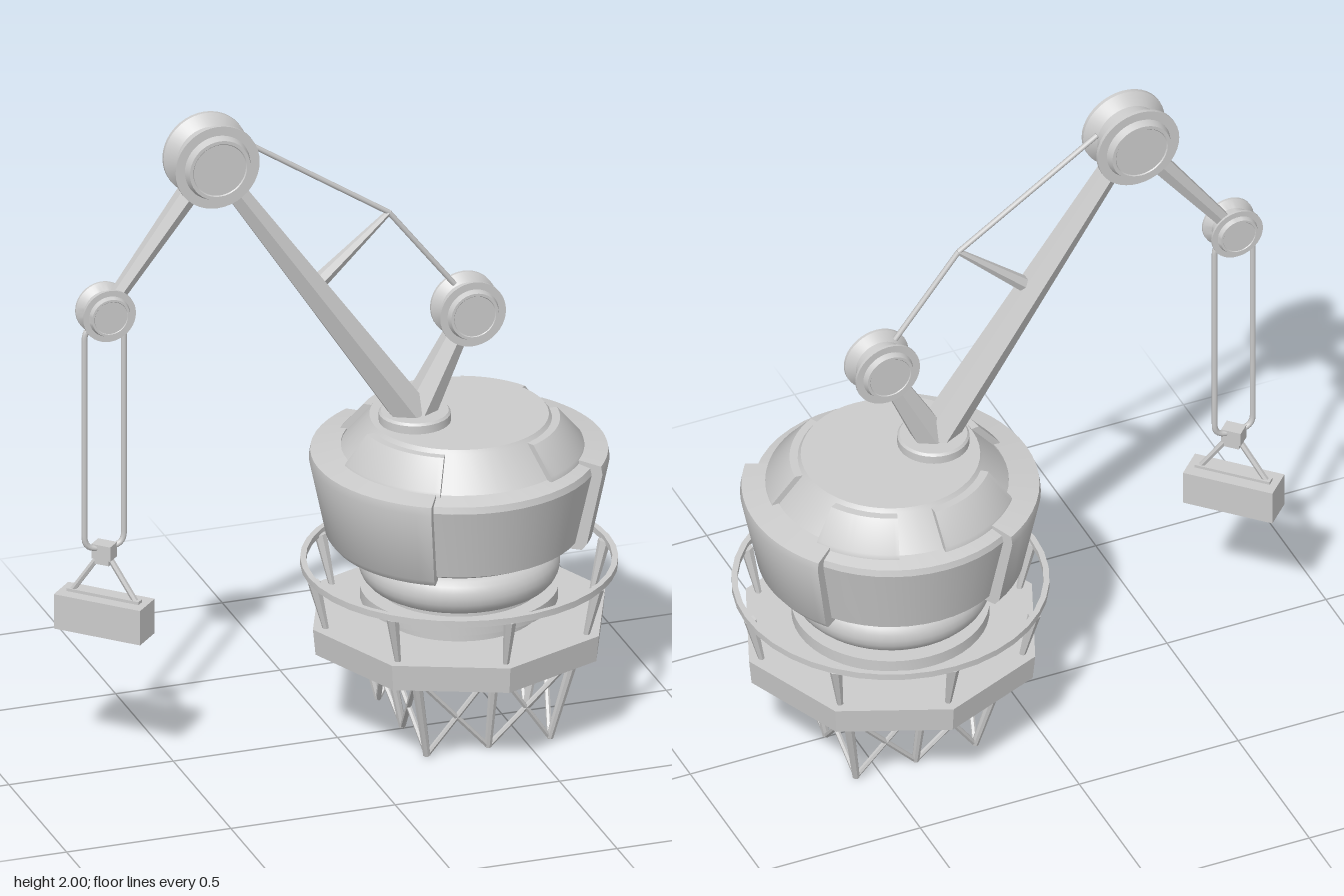
import * as THREE from 'three';
import { toCreasedNormals } from 'three/addons/utils/BufferGeometryUtils.js';

const smooth = new THREE.MeshStandardMaterial({ color: 0xcccccc, side: THREE.DoubleSide });
const flat = new THREE.MeshStandardMaterial({ color: 0xcccccc, side: THREE.DoubleSide, flatShading: true });
const V = (x, y, z = 0) => new THREE.Vector3(x, y, z);
const rad = THREE.MathUtils.degToRad;
const CX = 0.37; // axis of the tower

function add(parent, name, geometry, material = smooth) {
  const mesh = new THREE.Mesh(geometry, material);
  mesh.name = name;
  parent.add(mesh);
  return mesh;
}

// Turned part from [radius, height] pairs
function turned(profile, segments = 48, start = 0, length = Math.PI * 2) {
  const pts = profile.map(([r, y]) => new THREE.Vector2(r, y));
  return toCreasedNormals(new THREE.LatheGeometry(pts, segments, start, length), 0.45);
}

// Part of a turned ring between two angles (degrees from +x towards +z), with closed ends
function sector(parent, name, profile, a0, a1) {
  const g = new THREE.Group();
  g.name = name;
  const closed = [...profile, profile[0]];
  add(g, name + 'Shell', turned(closed, 20, rad(90 - a1), rad(a1 - a0)));
  const shape = new THREE.Shape(profile.map(([r, y]) => new THREE.Vector2(r, y)));
  for (const a of [a0, a1]) {
    add(g, name + 'End', new THREE.ShapeGeometry(shape)).rotation.y = -rad(a);
  }
  parent.add(g);
}

// Tapered straight member between two points
function beam(parent, name, a, b, r0, r1, sides = 6, material = flat) {
  const d = b.clone().sub(a);
  const m = add(parent, name, new THREE.CylinderGeometry(r1, r0, d.length(), sides), material);
  m.position.copy(a).addScaledVector(d, 0.5);
  m.quaternion.setFromUnitVectors(V(0, 1, 0), d.normalize());
  return m;
}

// Grooved pulley with a raised hub on both sides
function pulley(parent, name, x, y, R, half) {
  const side = [[0, half * 0.96], [R * 0.62, half * 0.96], [R * 0.64, half], [R * 0.72, half],
    [R * 0.78, half * 0.72], [R, half * 0.72], [R, half * 0.58], [R * 0.76, half * 0.2]];
  const profile = [...side.map(([r, h]) => [r, -h]), ...side.slice().reverse()];
  const m = add(parent, name, turned(profile, 40));
  m.rotation.x = Math.PI / 2;
  m.position.set(x, y, 0);
}

function buildTrestle(tower) {
  const g = new THREE.Group();
  g.name = 'trestle';
  g.position.x = 0.015;
  const foot = (i, k) => V(i * 0.187, 0, k * 0.21);
  const head = (i, k) => V(i * 0.24, 0.27, k * 0.27);
  const loop = [[-1, -1], [0, -1], [1, -1], [1, 0], [1, 1], [0, 1], [-1, 1], [-1, 0]];
  loop.forEach((p, i) => {
    const q = loop[(i + 1) % 8];
    beam(g, 'leg', foot(...p), head(...p), 0.011, 0.016, 8);
    beam(g, 'brace', foot(...p), head(...q), 0.008, 0.008, 6);
    beam(g, 'brace', foot(...q), head(...p), 0.008, 0.008, 6);
  });
  tower.add(g);
}

function buildDeck(tower) {
  add(tower, 'deck', new THREE.CylinderGeometry(0.445, 0.437, 0.08, 8), flat).position.y = 0.305;
  add(tower, 'railing', turned([[0.44, 0.49], [0.457, 0.49], [0.457, 0.51], [0.44, 0.51], [0.44, 0.49]], 40));
  for (let i = 0; i < 8; i++) {
    const a = i * Math.PI / 4, c = Math.cos(a), s = Math.sin(a);
    beam(tower, 'railPost', V(0.405 * c, 0.34, 0.405 * s), V(0.442 * c, 0.495, 0.442 * s), 0.009, 0.019, 6);
  }
}

function buildBody(tower) {
  // Slewing bearing: stacked discs and a rounded bulge
  const bulge = [];
  for (let i = 0; i <= 10; i++) {
    const t = -Math.PI / 2 + Math.PI * i / 10;
    bulge.push([0.235 + 0.055 * Math.cos(t), 0.5 + 0.06 * Math.sin(t)]);
  }
  add(tower, 'bearing', turned([[0, 0.345], [0.23, 0.345], [0.23, 0.37], [0.22, 0.375], [0.22, 0.388],
    [0.285, 0.388], [0.285, 0.425], [0.235, 0.425], ...bulge, [0.24, 0.58]]));
  // Drum with sloping shoulder and flat roof
  add(tower, 'drum', turned([[0, 0.575], [0.24, 0.575], [0.3, 0.575], [0.35, 0.6], [0.4, 0.82], [0.395, 0.84],
    [0.345, 0.855], [0.265, 0.95], [0.258, 0.96], [0, 0.96]]));
  // Thick armour panels on either side
  const panel = [[0.33, 0.58], [0.37, 0.58], [0.385, 0.6], [0.432, 0.825], [0.428, 0.85], [0.34, 0.865]];
  sector(tower, 'sidePanel', panel, -37, 37);
  sector(tower, 'sidePanel', panel, 120, 240);
  // Raised plates on the shoulder
  const plate = [[0.335, 0.85], [0.362, 0.853], [0.358, 0.868], [0.29, 0.948], [0.26, 0.948]];
  for (const [a, b] of [[5, 62], [118, 175], [218, 268], [290, 330]]) sector(tower, 'shoulderPlate', plate, a, b);
}

function buildCrane(root) {
  const g = new THREE.Group();
  g.name = 'crane';
  const base = V(0.235, 0.97), top = V(-0.385, 1.87), tip = V(-0.706, 1.44), back = V(0.397, 1.286);
  const mount = add(g, 'turntable', turned([[0, 0.95], [0.104, 0.95], [0.104, 0.985], [0.098, 0.992], [0, 0.992]], 32));
  mount.position.x = 0.235;
  beam(g, 'boom', V(0.225, 0.985), top, 0.06, 0.03);
  beam(g, 'backStrut', base, back, 0.055, 0.03);
  beam(g, 'forearm', top, tip, 0.036, 0.022);
  pulley(g, 'topPulley', top.x, top.y, 0.128, 0.08);
  pulley(g, 'tipPulley', tip.x, tip.y, 0.08, 0.05);
  pulley(g, 'backPulley', back.x, back.y, 0.1, 0.062);
  // Stay line held off the boom by a spreader
  const knee = V(0.156, 1.625);
  beam(g, 'stay', V(-0.28, 1.91), knee, 0.008, 0.008, 8, smooth);
  beam(g, 'stay', knee, V(0.355, 1.37), 0.008, 0.008, 8, smooth);
  beam(g, 'spreader', V(-0.06, 1.435), knee, 0.024, 0.009);
  root.add(g);
}

function buildHoist(root) {
  const g = new THREE.Group();
  g.name = 'hoist';
  g.position.x = -0.71;
  // Rope loop with rounded corners
  const w = 0.06, lo = 0.7, hi = 1.4, r = 0.04;
  const path = new THREE.CurvePath();
  const corner = (a, c, b) => path.add(new THREE.QuadraticBezierCurve3(a, c, b));
  const line = (a, b) => path.add(new THREE.LineCurve3(a, b));
  line(V(0, hi), V(-w + r, hi));
  corner(V(-w + r, hi), V(-w, hi), V(-w, hi - r));
  line(V(-w, hi - r), V(-w, lo + r));
  corner(V(-w, lo + r), V(-w, lo), V(-w + r, lo));
  line(V(-w + r, lo), V(w - r, lo));
  corner(V(w - r, lo), V(w, lo), V(w, lo + r));
  line(V(w, lo + r), V(w, hi - r));
  corner(V(w, hi - r), V(w, hi), V(w - r, hi));
  line(V(w - r, hi), V(0, hi));
  add(g, 'rope', new THREE.TubeGeometry(path, 160, 0.009, 8, true));
  // Shackle, slings and load, turned to the diagonal
  const load = new THREE.Group();
  load.name = 'load';
  load.rotation.y = -Math.PI / 4;
  add(load, 'shackle', new THREE.BoxGeometry(0.06, 0.045, 0.045)).position.y = 0.69;
  add(load, 'shackleNeck', new THREE.BoxGeometry(0.045, 0.03, 0.035)).position.y = 0.665;
  for (const s of [-1, 1]) beam(load, 'sling', V(s * 0.02, 0.665), V(s * 0.105, 0.54), 0.009, 0.009, 6);
  add(load, 'slingBar', new THREE.BoxGeometry(0.23, 0.012, 0.025)).position.y = 0.547;
  add(load, 'counterweight', new THREE.BoxGeometry(0.275, 0.108, 0.097)).position.y = 0.49;
  g.add(load);
  root.add(g);
}

export function createModel() {
  const root = new THREE.Group();
  root.name = 'harbourCrane';
  const tower = new THREE.Group();
  tower.name = 'tower';
  tower.position.x = CX;
  root.add(tower);
  buildTrestle(tower);
  buildDeck(tower);
  buildBody(tower);
  buildCrane(root);
  buildHoist(root);
  return root;
}
